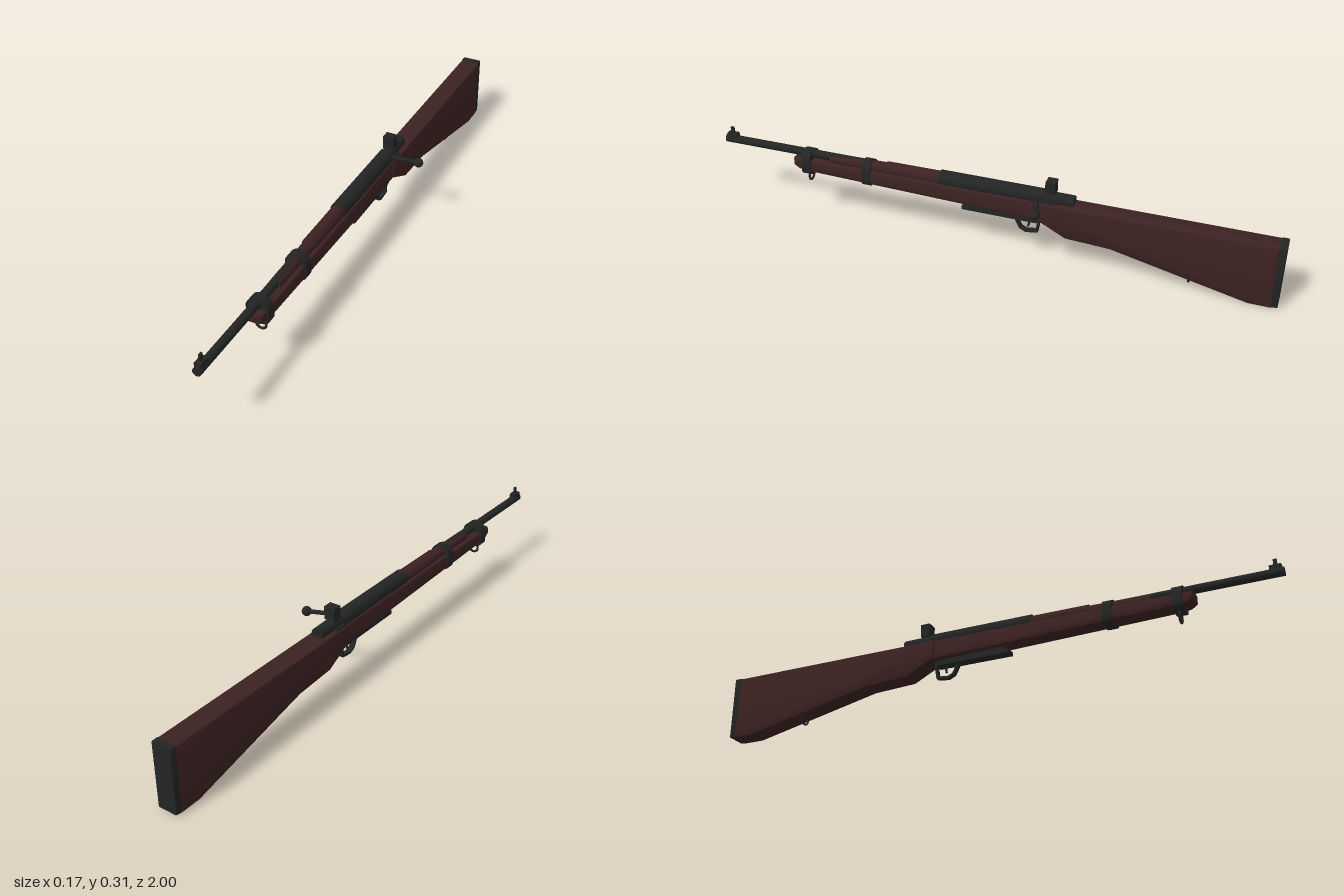
import * as THREE from 'three';
import { toCreasedNormals } from 'three/addons/utils/BufferGeometryUtils.js';

const wood = new THREE.MeshStandardMaterial({ color: 0x3d2222 });
wood.name = 'dark wood';
const metal = new THREE.MeshStandardMaterial({ color: 0x232424 });
metal.name = 'blackened metal';

export function createModel() {
  const model = new THREE.Group();
  const rifle = new THREE.Group();
  rifle.name = 'rifle';
  rifle.position.x = -0.049;
  model.add(rifle);

  function add(name, geometry, material, x = 0, y = 0, z = 0) {
    const mesh = new THREE.Mesh(geometry, material);
    mesh.name = name;
    mesh.position.set(x, y, z);
    rifle.add(mesh);
    return mesh;
  }

  // Side profile of [z, y] points, extruded across x with bevelled edges
  function sideSlab(points, width, bevel) {
    const shape = new THREE.Shape(points.map(([z, y]) => new THREE.Vector2(z, y)));
    const g = new THREE.ExtrudeGeometry(shape, {
      depth: width - 2 * bevel, bevelEnabled: bevel > 0,
      bevelSize: bevel, bevelThickness: bevel, bevelOffset: -bevel, bevelSegments: 2,
    });
    g.translate(0, 0, -(width - 2 * bevel) / 2);
    g.rotateY(-Math.PI / 2);
    return toCreasedNormals(g, 0.5);
  }

  // Round bar along z, from z0 to z1
  function bar(name, radius, z0, z1, y, material, radius1 = radius) {
    const g = new THREE.CylinderGeometry(radius1, radius, z1 - z0, 20);
    g.rotateX(Math.PI / 2);
    return add(name, g, material, 0, y, (z0 + z1) / 2);
  }

  function box(name, w, h, d, y, z, material = metal) {
    return add(name, new THREE.BoxGeometry(w, h, d), material, 0, y, z);
  }

  function tube(name, points, radius, segments = 24) {
    const curve = new THREE.CatmullRomCurve3(points.map((p) => new THREE.Vector3(...p)));
    return add(name, new THREE.TubeGeometry(curve, segments, radius, 8), metal);
  }

  // Wooden stock
  add('buttstock', sideSlab([
    [-0.18, 0.236], [-0.98, 0.236], [-0.98, 0.004], [-0.905, 0.004],
    [-0.44, 0.108], [-0.285, 0.116], [-0.18, 0.17],
  ], 0.074, 0.009), wood);
  add('forestock', sideSlab([
    [0.72, 0.232], [-0.185, 0.237], [-0.185, 0.165], [0.66, 0.187], [0.70, 0.192], [0.72, 0.206],
  ], 0.067, 0.011), wood);
  add('buttPlate', sideSlab([
    [-0.976, 0.237], [-1.0, 0.237], [-1.0, 0.01], [-0.976, 0.006],
  ], 0.07, 0.003), metal);

  // Barrel, handguard, receiver and bolt
  bar('barrel', 0.0145, 0.1, 1.0, 0.248, metal);
  bar('handguardFront', 0.021, 0.36, 0.58, 0.242, wood, 0.019);
  bar('handguardRear', 0.025, 0.16, 0.37, 0.243, wood, 0.024);
  bar('receiver', 0.028, -0.2, 0.17, 0.245, metal);
  bar('bolt', 0.021, -0.305, -0.19, 0.247, metal, 0.022);
  box('receiverTang', 0.06, 0.012, 0.06, 0.236, -0.21);
  const handle = [[0.015, 0.253, -0.181], [0.05, 0.252, -0.188], [0.085, 0.249, -0.197], [0.119, 0.245, -0.204]];
  tube('boltHandle', handle, 0.0075);
  add('boltKnob', new THREE.SphereGeometry(0.0165, 20, 14), metal, 0.119, 0.245, -0.204);

  // Sights
  box('rearSight', 0.039, 0.046, 0.033, 0.289, -0.224);
  box('frontSightBase', 0.022, 0.016, 0.038, 0.265, 0.974);
  box('frontSightPost', 0.007, 0.03, 0.012, 0.281, 0.974);

  // Barrel bands with rounded lower corners and a stepped top
  function band(name, z, depth, half, bottom) {
    const s = new THREE.Shape();
    s.moveTo(-half + 0.016, bottom);
    s.lineTo(half - 0.016, bottom);
    s.quadraticCurveTo(half, bottom + 0.003, half, bottom + 0.02);
    s.lineTo(half, 0.232);
    s.quadraticCurveTo(half - 0.002, 0.247, 0.022, 0.258);
    s.quadraticCurveTo(0, 0.272, -0.022, 0.258);
    s.quadraticCurveTo(-half + 0.002, 0.247, -half, 0.232);
    s.lineTo(-half, bottom + 0.02);
    s.quadraticCurveTo(-half, bottom + 0.003, -half + 0.016, bottom);
    const g = new THREE.ExtrudeGeometry(s, { depth, bevelEnabled: false, curveSegments: 6 });
    add(name, toCreasedNormals(g, 0.6), metal, 0, 0, z - depth / 2);
  }
  band('frontBand', 0.668, 0.034, 0.038, 0.176);
  band('middleBand', 0.438, 0.033, 0.037, 0.175);

  // Sling loops
  add('frontSlingRing', new THREE.TorusGeometry(0.0175, 0.0042, 8, 24), metal, 0, 0.159, 0.668);
  const rearLoop = add('rearSlingLoop', new THREE.TorusGeometry(0.0195, 0.0035, 8, 20, Math.PI), metal, 0, 0.044, -0.706);
  rearLoop.rotation.z = Math.PI;
  for (const side of [-1, 1]) {
    add('rearSlingLeg', new THREE.CylinderGeometry(0.0035, 0.0035, 0.022, 8), metal, side * 0.0195, 0.054, -0.706);
  }

  // Magazine floor plate, trigger and guard
  box('magazineWell', 0.032, 0.02, 0.25, 0.161, -0.05);
  box('floorPlate', 0.036, 0.014, 0.268, 0.152, -0.046);
  add('triggerGuard', sideSlab([
    [-0.095, 0.15], [-0.117, 0.107], [-0.14, 0.096], [-0.182, 0.102], [-0.192, 0.165],
    [-0.184, 0.165], [-0.175, 0.109], [-0.142, 0.104], [-0.123, 0.112], [-0.104, 0.15],
  ], 0.018, 0), metal);
  tube('trigger', [[0, 0.155, -0.14], [0, 0.135, -0.15], [0, 0.117, -0.146]], 0.004, 10);

  return model;
}
